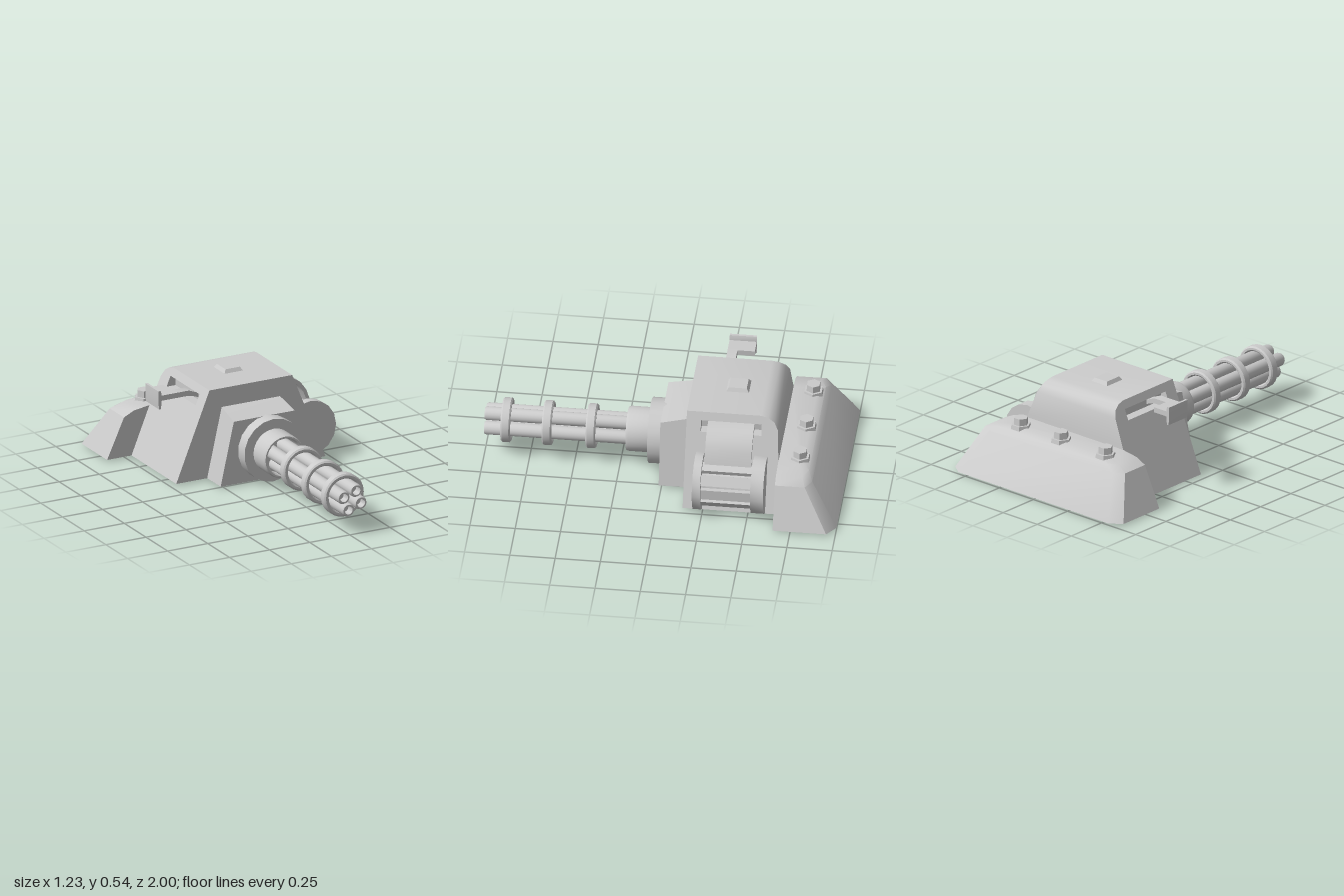
import * as THREE from 'three';
import { toCreasedNormals } from 'three/addons/utils/BufferGeometryUtils.js';

export function createModel() {
  const group = new THREE.Group();
  const material = new THREE.MeshStandardMaterial({ color: 0xcccccc });

  function add(name, geometry, x = 0, y = 0, z = 0) {
    const flat = geometry.index ? geometry.toNonIndexed() : geometry;
    const mesh = new THREE.Mesh(toCreasedNormals(flat, 0.6), material);
    mesh.name = name;
    mesh.position.set(x, y, z);
    group.add(mesh);
    return mesh;
  }
  const toShape = pts => new THREE.Shape(pts.map(p => new THREE.Vector2(p[0], p[1])));

  // Side profile (z, y) spread across x, its half width given by height
  function taperedBlock(profile, halfWidth, hole) {
    const shape = toShape(profile);
    if (hole) shape.holes.push(new THREE.Path(hole.map(p => new THREE.Vector2(p[0], p[1]))));
    const geo = new THREE.ExtrudeGeometry(shape, { depth: 1, bevelEnabled: false });
    const pos = geo.attributes.position;
    for (let i = 0; i < pos.count; i++) {
      const z = pos.getX(i), y = pos.getY(i), w = pos.getZ(i);
      pos.setXYZ(i, (1 - 2 * w) * halfWidth(y), y, z);
    }
    return geo;
  }
  // Front outline (x, y) extruded between two depths
  const slab = (pts, z0, z1) =>
    new THREE.ExtrudeGeometry(toShape(pts), { depth: z1 - z0, bevelEnabled: false }).translate(0, 0, z0);
  // Turned part along z, from (radius, z) points
  const turned = (pts, sides) =>
    new THREE.LatheGeometry(pts.map(p => new THREE.Vector2(p[0], p[1])), sides).rotateX(Math.PI / 2);

  // Main body with a slot through both sloped sides
  const bodyWidth = y => 0.465 - (y - 0.01) * 0.406;
  add('body', taperedBlock(
    [[-0.14, 0.01], [-0.14, 0.52], [-0.55, 0.52], [-0.59, 0.511], [-0.625, 0.489],
      [-0.645, 0.45], [-0.655, 0.3], [-0.67, 0.01]],
    bodyWidth,
    [[-0.22, 0.415], [-0.22, 0.475], [-0.555, 0.475], [-0.555, 0.415]]));
  add('slotCore', new THREE.BoxGeometry(0.49, 0.08, 0.35), 0, 0.445, -0.3875);

  // Front gun mount
  add('gunMount', taperedBlock(
    [[-0.2, 0.01], [0.015, 0.01], [0.015, 0.375], [-0.14, 0.41], [-0.2, 0.41]],
    y => 0.272 - (y - 0.01) * 0.225));

  // Rear base, lofted from stacked outlines
  function rearBase() {
    // y, half width, back z, corner cut in x, corner cut in z
    const layers = [
      [0.01, 0.617, -1.0, 0.067, 0.05],
      [0.24, 0.512, -0.855, 0.06, 0.035],
      [0.27, 0.45, -0.83, 0.06, 0.03],
      [0.285, 0.35, -0.79, 0.03, 0.02]
    ];
    const front = -0.655, n = 6, positions = [], index = [];
    for (const [y, w, back, cx, cz] of layers) {
      positions.push(-w, y, front, w, y, front, w, y, back + cz,
        w - cx, y, back, cx - w, y, back, -w, y, back + cz);
    }
    for (let k = 0; k < layers.length - 1; k++) {
      for (let i = 0; i < n; i++) {
        const a = k * n + i, b = k * n + (i + 1) % n;
        index.push(a, b, b + n, a, b + n, a + n);
      }
    }
    const top = (layers.length - 1) * n;
    for (let i = 1; i < n - 1; i++) {
      index.push(0, i + 1, i, top, top + i, top + i + 1);
    }
    const geo = new THREE.BufferGeometry();
    geo.setAttribute('position', new THREE.Float32BufferAttribute(positions, 3));
    geo.setIndex(index);
    return geo;
  }
  add('rearBase', rearBase());

  // Hex bolts on the base
  for (const x of [-0.325, 0, 0.295]) {
    add('boltFlange', new THREE.CylinderGeometry(0.055, 0.06, 0.03, 6).rotateY(Math.PI / 6), x, 0.283, -0.77);
    add('boltHead', new THREE.CylinderGeometry(0.04, 0.042, 0.045, 6).rotateY(Math.PI / 6), x, 0.314, -0.77);
  }

  // Roof hatch
  add('roofHatch', new THREE.CylinderGeometry(0.045 * Math.SQRT2, 0.06 * Math.SQRT2, 0.025, 4)
    .rotateY(Math.PI / 4).scale(1, 1, 1.1), -0.002, 0.5275, -0.395);

  // Gun: collar, hollow housing, barrels and clamp rings
  const gx = 0.018, gy = 0.197;
  add('gunCollar', turned([[0, -0.1], [0.182, -0.1], [0.182, 0.088], [0, 0.088]], 18), gx, gy);
  add('barrelHousing', turned(
    [[0.125, 0.05], [0.125, 0.2], [0.119, 0.215], [0.11, 0.215], [0.104, 0.205], [0.104, 0.15], [0, 0.15]], 24), gx, gy);
  for (let i = 0; i < 4; i++) {
    const a = 1.14 + i * Math.PI / 2;
    add('barrel', turned(
      [[0.038, 0.12], [0.038, 0.99], [0.033, 1], [0.024, 1], [0.024, 0.95], [0, 0.95]], 16),
    gx + 0.058 * Math.cos(a), gy + 0.058 * Math.sin(a));
  }
  for (const z of [0.41, 0.652, 0.88]) {
    add('barrelRing', turned(
      [[0.104, -0.027], [0.116, -0.027], [0.124, -0.019], [0.124, 0.019], [0.116, 0.027],
        [0.104, 0.027], [0.096, 0.02], [0.096, -0.02], [0.104, -0.027]], 24), gx, gy, z);
  }

  // Ammunition drum: two flanges, core and rods
  const dx = 0.404, dy = 0.161;
  const disc = (r, z0, z1, sides) => new THREE.CylinderGeometry(r, r, z1 - z0, sides)
    .rotateX(Math.PI / 2).translate(0, 0, (z0 + z1) / 2);
  add('drumFlange', disc(0.161, -0.247, -0.202, 16), dx, dy);
  add('drumFlange', disc(0.161, -0.595, -0.523, 16), dx, dy);
  add('drumCore', disc(0.108, -0.53, -0.24, 14), dx, dy);
  for (let i = 0; i < 10; i++) {
    const rod = add('drumRod', new THREE.BoxGeometry(0.025, 0.06, 0.3), 0, 0, -0.385);
    const a = i * Math.PI / 5;
    rod.position.x = dx + 0.121 * Math.cos(a);
    rod.position.y = dy + 0.121 * Math.sin(a);
    rod.rotation.z = a;
  }

  // Curved feed chute from the slot to the drum
  add('feedChute', slab(
    [[0.22, 0.465], [0.28, 0.463], [0.325, 0.452], [0.372, 0.422], [0.41, 0.37], [0.437, 0.295],
      [0.417, 0.295], [0.392, 0.36], [0.357, 0.407], [0.315, 0.435], [0.28, 0.443], [0.22, 0.445]],
    -0.515, -0.258));

  // Side bracket: arm, plate and upright tip
  add('bracketArm', slab(
    [[-0.23, 0.425], [-0.285, 0.445], [-0.31, 0.45], [-0.4, 0.45], [-0.4, 0.48], [-0.305, 0.48], [-0.23, 0.45]],
    -0.342, -0.288));
  add('bracketPlate', new THREE.BoxGeometry(0.1, 0.03, 0.15), -0.436, 0.465, -0.363);
  add('bracketTip', slab(
    [[-0.492, 0.402], [-0.48, 0.402], [-0.476, 0.45], [-0.476, 0.49], [-0.483, 0.508], [-0.497, 0.508], [-0.497, 0.45]],
    -0.438, -0.288));

  return group;
}
